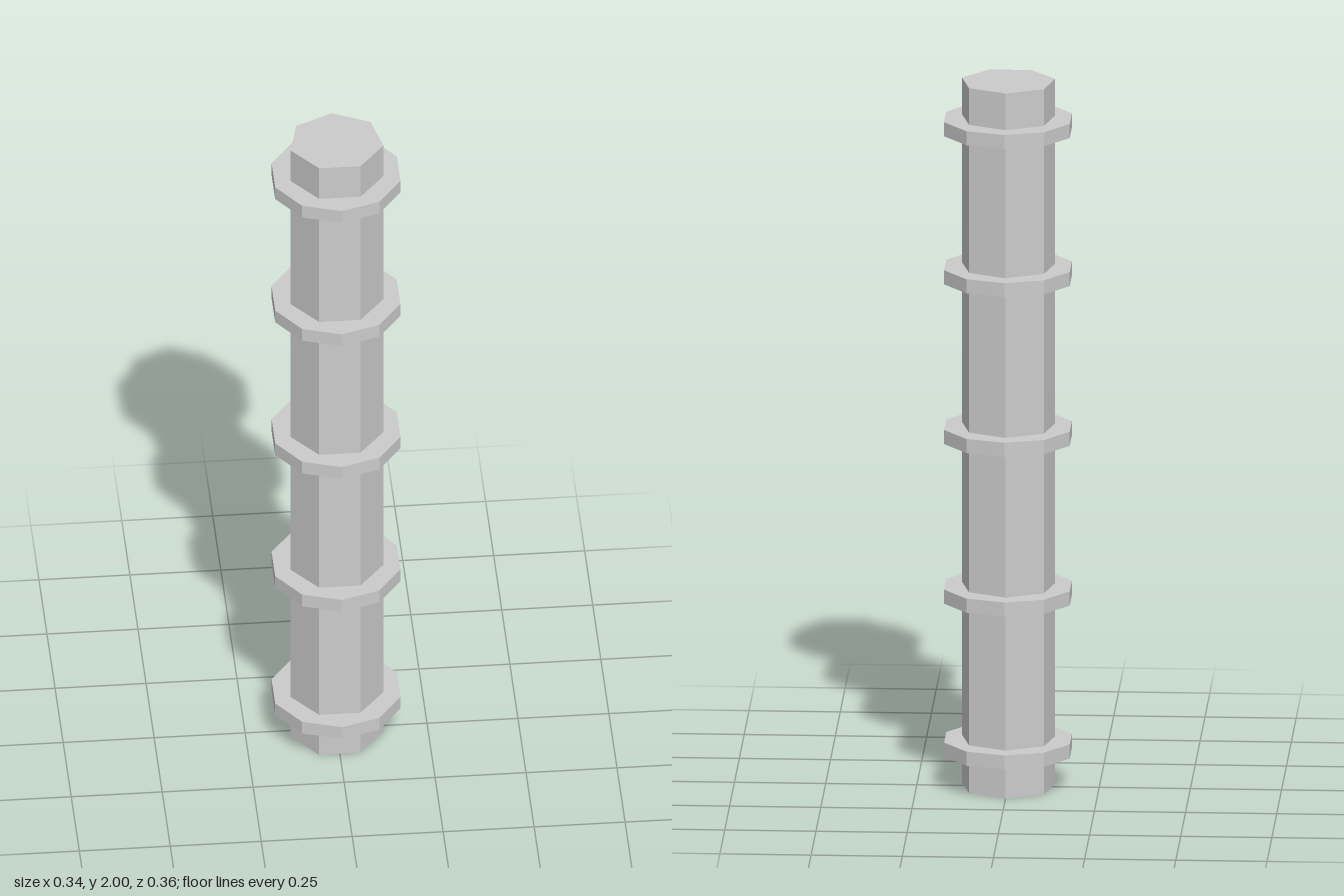
import * as THREE from 'three';

export function createModel() {
  const group = new THREE.Group();
  const material = new THREE.MeshStandardMaterial({ color: 0xcccccc, flatShading: true });

  // Upright prism with one corner pointing to the back
  function addPrism(name, radius, height, sides, y, z = 0) {
    const mesh = new THREE.Mesh(new THREE.CylinderGeometry(radius, radius, height, sides), material);
    mesh.name = name;
    mesh.rotation.y = Math.PI;
    mesh.position.set(0, y, z);
    group.add(mesh);
  }

  // Seven-sided shaft
  addPrism('shaft', 0.131, 2, 7, 1);

  // Ten-sided collars, slightly unevenly spaced along the shaft
  [0.116, 0.55, 1.003, 1.456, 1.876].forEach((y, i) => {
    addPrism(`collar${i + 1}`, 0.181, 0.04, 10, y, -0.001);
  });

  return group;
}
